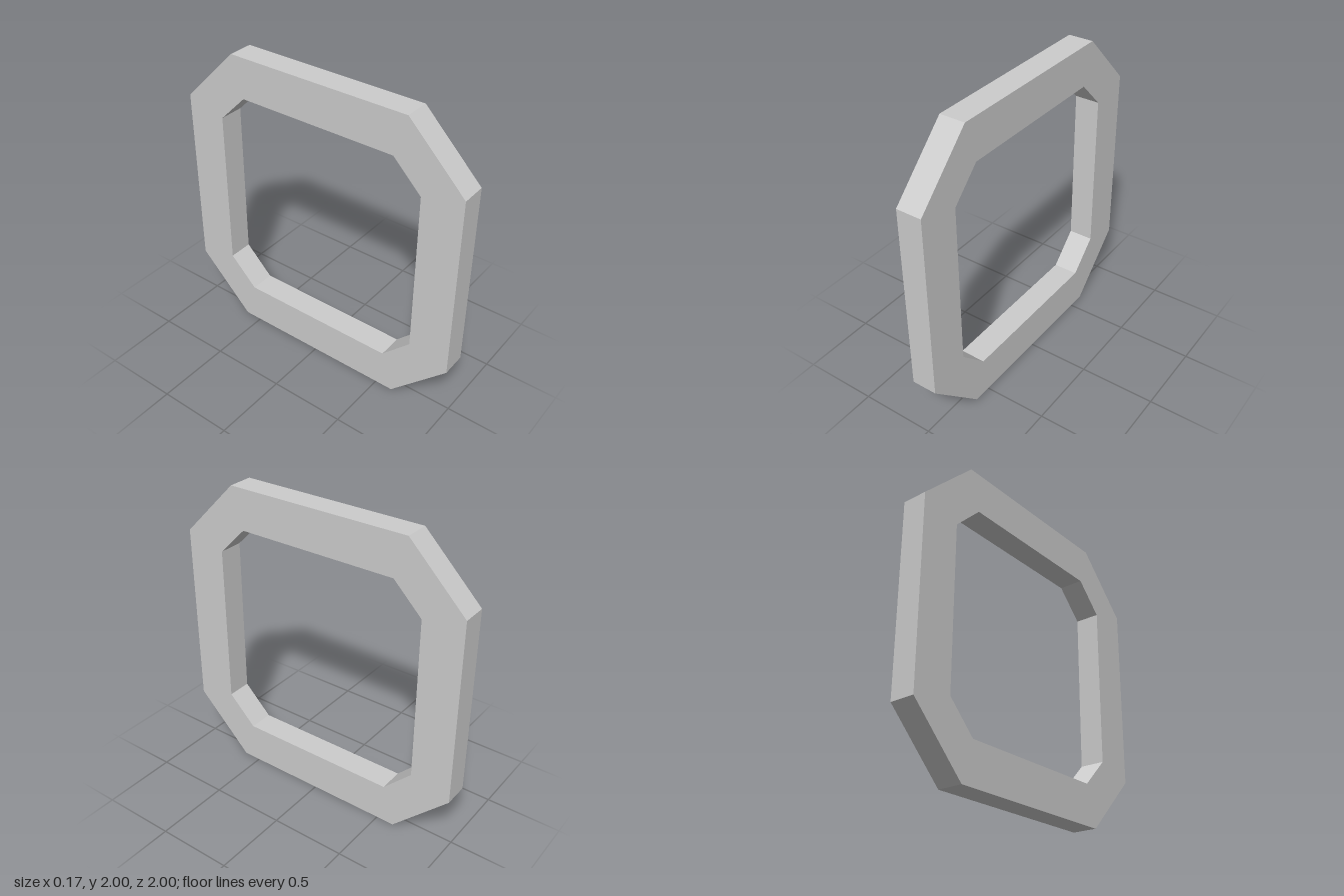
import * as THREE from 'three';

// Square of half-size h with chamfered corners; f is the half-length of each flat side
function chamferedSquare(h, f) {
  return [[h, -f], [h, f], [f, h], [-f, h], [-h, f], [-h, -f], [-f, -h], [f, -h]]
    .map(([x, y]) => new THREE.Vector2(x, y));
}

export function createModel() {
  const thickness = 0.166;
  const group = new THREE.Group();
  group.name = 'octagonalFrame';

  // Frame outline with a matching chamfered opening
  const outline = new THREE.Shape(chamferedSquare(1, 0.62));
  outline.holes.push(new THREE.Path(chamferedSquare(0.73, 0.54).reverse()));

  // Extrude, centre, then turn the flat faces towards the sides
  const geometry = new THREE.ExtrudeGeometry(outline, { depth: thickness, bevelEnabled: false });
  geometry.translate(0, 0, -thickness / 2);
  geometry.rotateY(Math.PI / 2);
  geometry.translate(0, 1, 0);

  const frame = new THREE.Mesh(
    geometry,
    new THREE.MeshStandardMaterial({ color: 0xcccccc, flatShading: true })
  );
  frame.name = 'frame';
  group.add(frame);
  return group;
}
